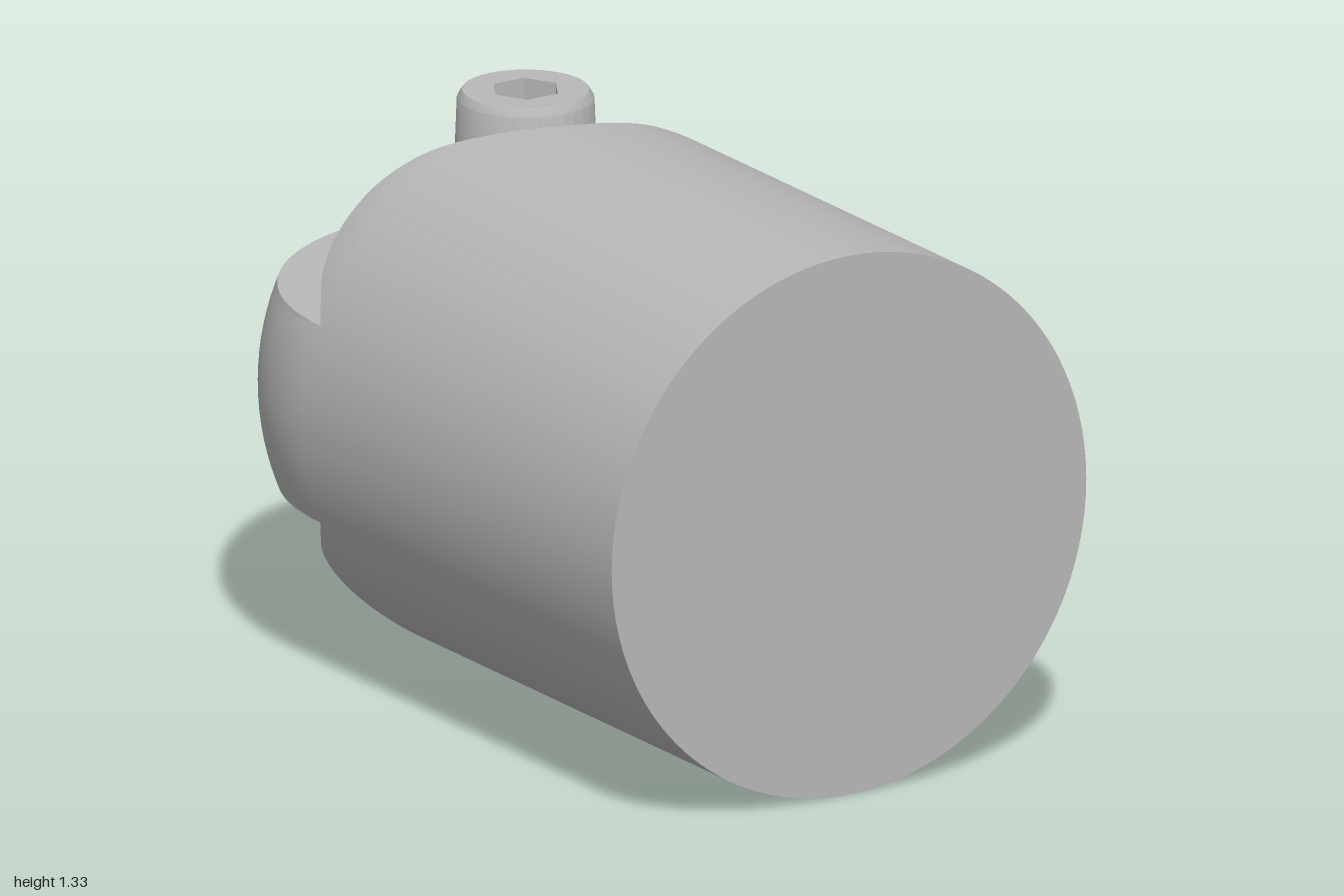
import * as THREE from 'three';
import { toCreasedNormals } from 'three/addons/utils/BufferGeometryUtils.js';

const R = 0.665;          // body radius, also the height of its axis
const TONGUE = 0.243;     // half thickness of the rear tongue
const Z_DOME = -0.335;    // where the cylinder turns into the rounded end
const X_FLAT = 0.585;     // flat cut on the left side
const Z_STEP = 0.05;      // where that cut begins

// wavy shoulder line above and below the tongue: z as a function of x
const shoulder = new THREE.CubicInterpolant(
  [-0.62, -0.56, -0.44, -0.31, -0.13, 0, 0.11, 0.24, 0.4, 0.585],
  [-0.33, -0.41, -0.44, -0.40, -0.275, -0.205, -0.19, -0.2, -0.165, -0.04], 1);

// upper outline of the body in the plane x, from the front face to the rear end
function outline(x, full) {
  const h = Math.sqrt(Math.max(0, R * R - x * x));
  const t = Math.min(TONGUE, h);
  const phi = h > 1e-6 ? Math.asin(t / h) : 0;
  const zc = !full ? Z_STEP : x < -0.618 ? Z_DOME : shoulder.evaluate(x)[0];
  const pts = [[1, 0], [1, h]];
  const z0 = Math.max(zc, Z_DOME);
  for (let k = 0; k <= 3; k++) {                       // top, dipping with the dome
    const z = z0 + (zc - z0) * k / 3;
    const d = Math.min(0, z - Z_DOME);
    pts.push([z, Math.max(t, Math.sqrt(Math.max(0, h * h - d * d)))]);
  }
  pts.push([zc, t]);                                   // shoulder wall
  for (let k = 0; k <= 8; k++) {                       // tongue face and rounded end
    const a = phi * (1 - k / 8);
    pts.push([full ? Z_DOME - h * Math.cos(a) : Z_STEP, h * Math.sin(a)]);
  }
  return pts.map(([z, y]) => new THREE.Vector3(x, y, z));
}

function bodyGeometry() {
  const columns = [];
  const run = (x0, x1, n, full) => {
    const a0 = Math.acos(x0 / R), a1 = Math.acos(x1 / R);
    for (let i = 0; i <= n; i++) columns.push(outline(R * Math.cos(a0 + (a1 - a0) * i / n), full));
  };
  run(-R, -0.618, 6, true);
  run(-0.618, X_FLAT, 54, true);
  run(X_FLAT, R, 8, false);

  const pos = [];
  const tri = (a, b, c) => {
    const area = b.clone().sub(a).cross(c.clone().sub(a)).length();
    if (area < 1e-8) return;
    for (const p of [a, b, c]) pos.push(p.x, R + p.y, p.z);
    for (const p of [a, c, b]) pos.push(p.x, R - p.y, p.z);   // mirrored lower half
  };
  for (let i = 0; i < columns.length - 1; i++) {
    const A = columns[i], B = columns[i + 1];
    for (let j = 0; j < A.length - 1; j++) {
      tri(A[j], B[j], B[j + 1]);
      tri(A[j], B[j + 1], A[j + 1]);
    }
  }
  const g = new THREE.BufferGeometry();
  g.setAttribute('position', new THREE.Float32BufferAttribute(pos, 3));
  return toCreasedNormals(g, 0.6);
}

export function createModel() {
  const steel = new THREE.MeshStandardMaterial({ color: 0xb8b8b8 });
  steel.name = 'grey steel';
  const model = new THREE.Group();
  model.name = 'rodEnd';
  const add = (parent, name, geometry, y = 0) => {
    const m = new THREE.Mesh(geometry, steel);
    m.name = name;
    m.position.y = y;
    parent.add(m);
    return m;
  };

  add(model, 'body', bodyGeometry());

  // bolt through the tongue
  const bolt = new THREE.Group();
  bolt.name = 'bolt';
  bolt.position.set(0.09, 0, -0.538);
  model.add(bolt);
  add(bolt, 'boltShaft', new THREE.CylinderGeometry(0.133, 0.133, 1.08, 32), 0.58);
  add(bolt, 'boltNeck', new THREE.CylinderGeometry(0.115, 0.115, 0.06, 32), 1.13);

  // head shell, open at the top for the socket ring
  const profile = [[0, 1.14], [0.168, 1.14], [0.162, 1.295], [0.15, 1.315]]
    .map(([x, y]) => new THREE.Vector2(x, y));
  add(bolt, 'boltHead', toCreasedNormals(new THREE.LatheGeometry(profile, 32), 0.5));

  // ring with the hexagonal socket
  const ring = new THREE.Shape().absarc(0, 0, 0.15, 0, Math.PI * 2);
  const hex = [];
  for (let i = 0; i < 6; i++) {
    const a = i * Math.PI / 3;
    hex.push(new THREE.Vector2(0.085 * Math.cos(a), 0.085 * Math.sin(a)));
  }
  ring.holes.push(new THREE.Path(hex));
  const ringGeo = new THREE.ExtrudeGeometry(ring, { depth: 0.1, bevelEnabled: false, curveSegments: 16 });
  add(bolt, 'socketRing', ringGeo.rotateX(-Math.PI / 2), 1.215);
  add(bolt, 'socketFloor', new THREE.CircleGeometry(0.09, 6).rotateX(-Math.PI / 2), 1.22);

  return model;
}
